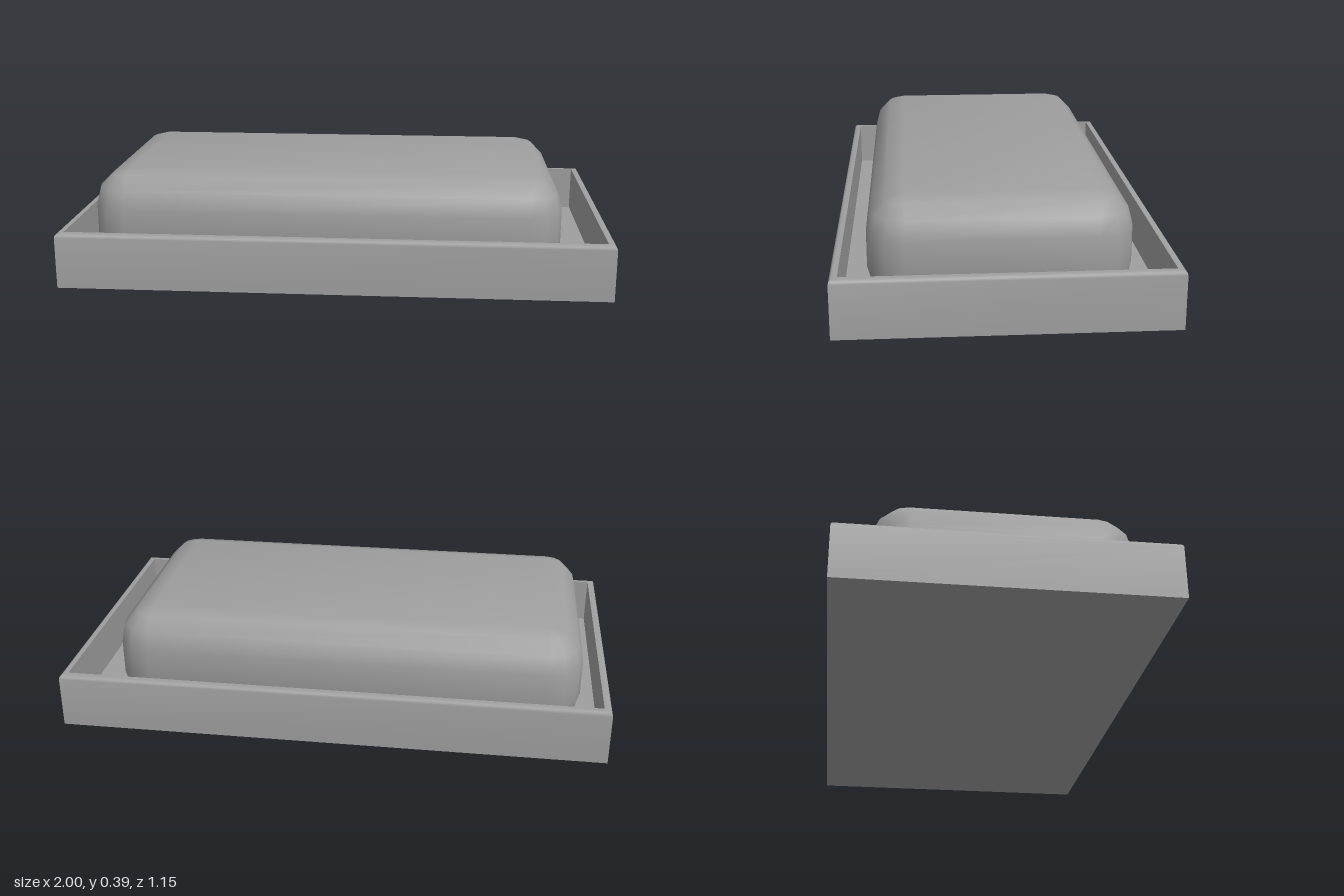
import * as THREE from 'three';
import { toCreasedNormals } from 'three/addons/utils/BufferGeometryUtils.js';

// Skin a stack of closed rings (counterclockwise from above), cap both ends
// and smooth everything but the sharp edges.
function loft(rings) {
  const n = rings[0].length, last = (rings.length - 1) * n, index = [];
  for (let i = 0; i < rings.length - 1; i++) {
    for (let j = 0; j < n; j++) {
      const k = (j + 1) % n;
      const a = i * n + j, b = i * n + k, c = b + n, d = a + n;
      index.push(a, b, c, a, c, d);
    }
  }
  for (let j = 1; j < n - 1; j++) {
    index.push(0, j + 1, j, last, last + j, last + j + 1);
  }
  const geometry = new THREE.BufferGeometry();
  geometry.setAttribute('position', new THREE.Float32BufferAttribute(rings.flat(2), 3));
  geometry.setIndex(index);
  return toCreasedNormals(geometry, 0.7);
}

// Open tray: rectangular rings run up the outside, over the rim and down to the floor.
function trayGeometry(halfX, halfZ) {
  const profile = [[0, 0], [0, 0.19], [0.002, 0.1975], [0.0075, 0.203], [0.015, 0.205],
    [0.028, 0.205], [0.028, 0.03]];
  return loft(profile.map(([inset, y]) => {
    const x = halfX - inset, z = halfZ - inset;
    return [[x, y, -z], [-x, y, -z], [-x, y, z], [x, y, z]];
  }));
}

// Rounded block: 30 degree steps around every edge and corner.
function blockGeometry(halfX, halfY, halfZ, radius) {
  const core = new THREE.Vector3(halfX, halfY, halfZ).subScalar(radius);
  const step = Math.PI / 6, rings = [];
  for (const [sy, start] of [[-1, -3], [1, 0]]) {
    for (let i = 0; i <= 3; i++) {
      const lat = (start + i) * step, ring = [];
      const y = sy * core.y + radius * Math.sin(lat), r = radius * Math.cos(lat);
      [[1, 1], [-1, 1], [-1, -1], [1, -1]].forEach(([sx, sz], corner) => {
        for (let j = 0; j <= 3; j++) {
          const a = (corner * 3 + j) * step;
          ring.push([sx * core.x + r * Math.cos(a), y, -(sz * core.z + r * Math.sin(a))]);
        }
      });
      rings.push(ring);
    }
  }
  return loft(rings);
}

export function createModel() {
  const model = new THREE.Group();
  const material = new THREE.MeshStandardMaterial({ color: 0x9f9f9f });

  const tray = new THREE.Mesh(trayGeometry(1, 0.575), material);
  tray.name = 'tray';

  // The block is sunk slightly into the tray floor, a little off centre
  const block = new THREE.Mesh(blockGeometry(0.867, 0.195, 0.456, 0.13), material);
  block.name = 'roundedBlock';
  block.position.set(-0.037, 0.2, 0.007);

  model.add(tray, block);
  return model;
}
